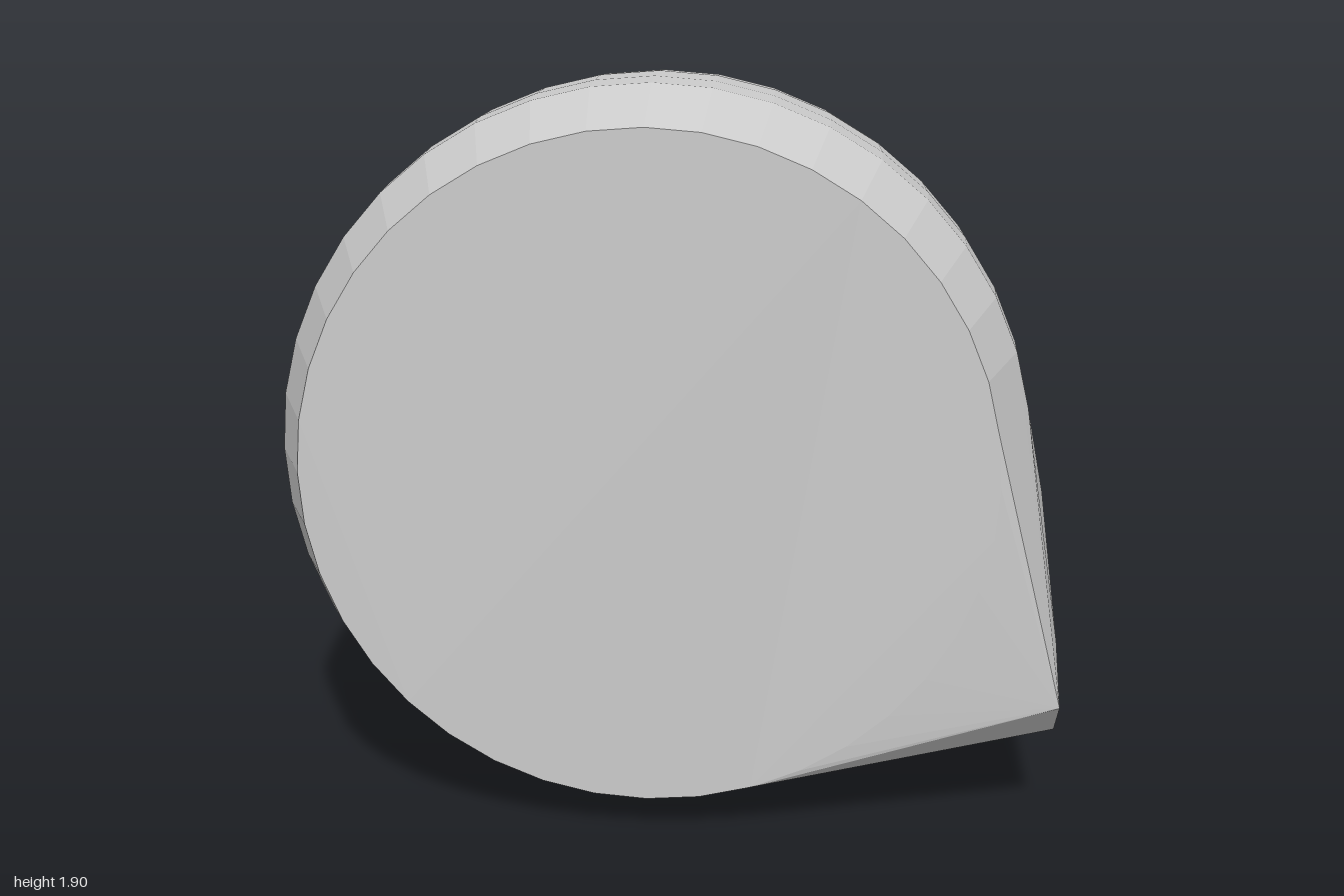
import * as THREE from 'three';
import { ConvexGeometry } from 'three/addons/geometries/ConvexGeometry.js';

export function createModel() {
  const group = new THREE.Group();
  const points = [];
  const add = (x, y, z) => points.push(new THREE.Vector3(x, y, z));

  // Round body: rings from front to back as [z, leftmost x, top y, bottom y]
  const rings = [
    [0.39, -0.905, 1.83, 0.1],
    [0.17, -0.995, 1.905, 0.01],
    [0.06, -1, 1.907, 0.002],
    [-0.1, -0.99, 1.9, 0.02],
    [-0.24, -0.97, 1.885, 0.04],
    [-0.32, -0.94, 1.84, 0.08],
  ];
  const cx = -0.04;
  const sides = 40;
  for (const [z, left, top, bottom] of rings) {
    for (let i = 0; i < sides; i++) {
      const a = (i / sides) * Math.PI * 2;
      add(cx + Math.cos(a) * (cx - left), (top + bottom) / 2 + Math.sin(a) * (top - bottom) / 2, z);
    }
  }

  // Flat end of the pointed side, as [y, z] on x = 1
  const tip = [[0.38, 0.37], [0.28, 0.28], [0.26, 0], [0.26, -0.39], [0.76, -0.39], [0.74, -0.26], [0.6, 0.02], [0.5, 0.23]];
  for (const [y, z] of tip) add(1, y, z);

  // Outline of the flat back, as [x, y]
  const back = [[0.2, 1.57], [-0.61, 1.57], [-0.7, 1.52], [-0.82, 1.38], [-0.9, 1.18], [-0.91, 1.08], [-0.85, 0.94]];
  for (const [x, y] of back) add(x, y, -0.39);

  // Convex faceted stone
  const stone = new THREE.Mesh(
    new ConvexGeometry(points),
    new THREE.MeshStandardMaterial({ color: 0xcccccc, flatShading: true })
  );
  stone.name = 'teardropStone';
  group.add(stone);
  return group;
}
